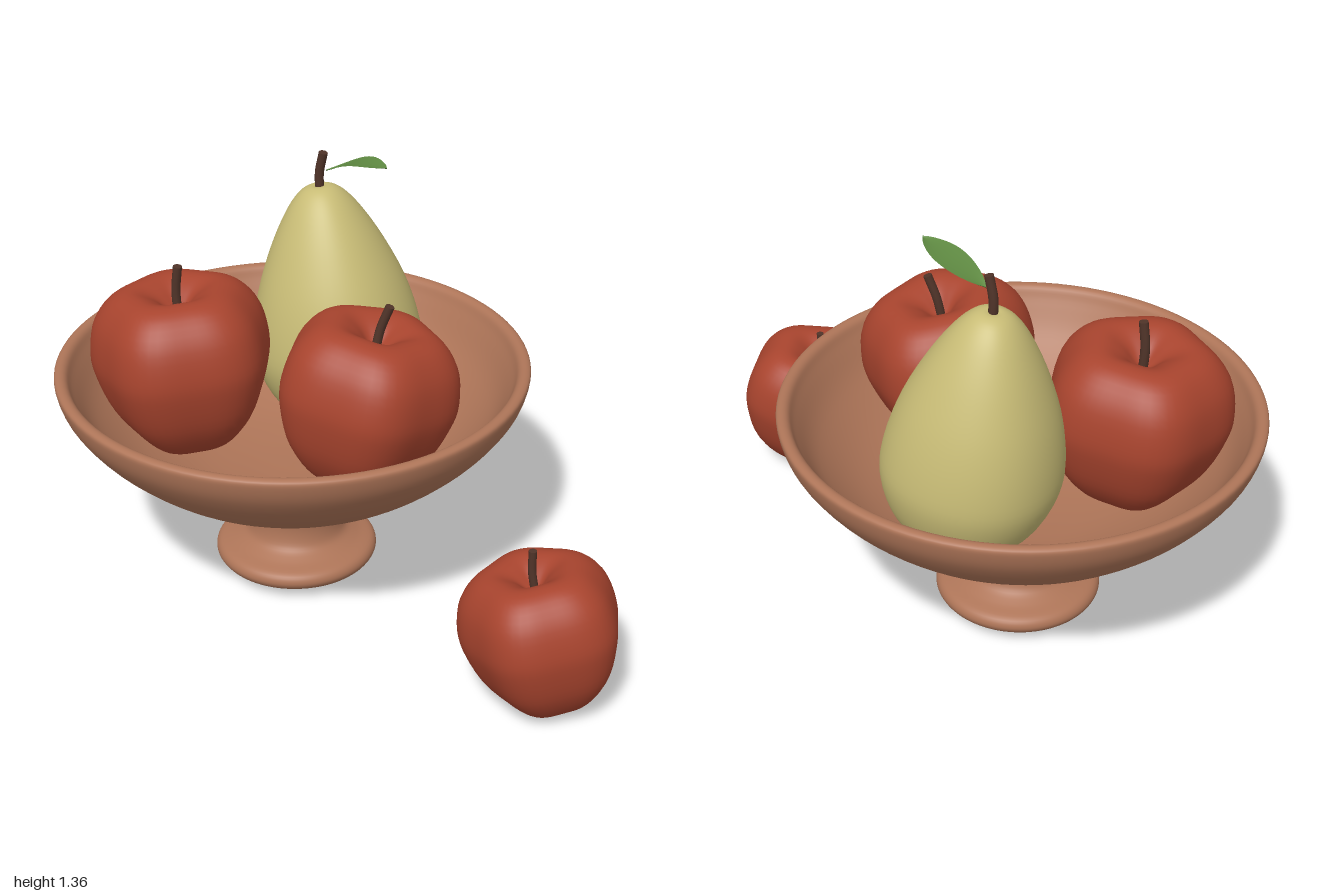
import * as THREE from 'three';
import { mergeVertices } from 'three/addons/utils/BufferGeometryUtils.js';

const mat = (name, color, extra = {}) => {
  const m = new THREE.MeshStandardMaterial({ color, ...extra });
  m.name = name;
  return m;
};

const mesh = (name, geometry, material) => {
  const m = new THREE.Mesh(geometry, material);
  m.name = name;
  return m;
};

// Smooth profile through a few [radius, height] points
const smooth = (pts, n) => new THREE.SplineCurve(pts.map(p => new THREE.Vector2(...p)))
  .getPoints(n).map(p => new THREE.Vector2(Math.max(0, p.x), p.y));

// Turned fruit body whose radius swells into soft lobes
function lobedLathe(profile, lobes, amount, phase) {
  let g = new THREE.LatheGeometry(smooth(profile, 44), 60);
  const p = g.attributes.position;
  for (let i = 0; i < p.count; i++) {
    const x = p.getX(i), z = p.getZ(i);
    const k = 1 + amount * Math.cos(lobes * (Math.atan2(z, x) - phase));
    p.setX(i, x * k);
    p.setZ(i, z * k);
  }
  g.deleteAttribute('uv');
  g.deleteAttribute('normal');
  g = mergeVertices(g, 1e-5);
  g.computeVertexNormals();
  return g;
}

// Curved stem with a closed tip
function makeStem(points, radius, material) {
  const curve = new THREE.CatmullRomCurve3(points.map(p => new THREE.Vector3(...p)));
  const group = new THREE.Group();
  group.name = 'stem';
  group.add(mesh('stemShaft', new THREE.TubeGeometry(curve, 10, radius, 10), material));
  const cap = mesh('stemTip', new THREE.CircleGeometry(radius, 10), material);
  const end = curve.getPoint(1);
  cap.position.copy(end);
  cap.lookAt(end.clone().add(curve.getTangent(1)));
  group.add(cap);
  return group;
}

const APPLE = [[0, -0.84], [0.16, -0.92], [0.34, -0.965], [0.56, -0.84], [0.82, -0.5],
  [0.97, -0.08], [1, 0.22], [0.92, 0.58], [0.72, 0.84], [0.48, 0.92], [0.26, 0.83],
  [0.1, 0.68], [0, 0.62]];

function makeApple(name, R, position, tiltX, tiltZ, phase, skin, stem) {
  const apple = new THREE.Group();
  apple.name = name;
  const profile = APPLE.map(([r, y]) => [r * R, y * R]);
  apple.add(mesh('appleBody', lobedLathe(profile, 5, 0.045, phase), skin));
  apple.add(makeStem([[0, 0.6 * R, 0], [0.01 * R, 0.9 * R, 0], [0.07 * R, 1.2 * R, 0]], 0.052 * R, stem));
  apple.position.set(...position);
  apple.rotation.set(tiltX, 0, tiltZ);
  return apple;
}

// Pointed, arched leaf built from rows across its length
function leafGeometry() {
  const spine = new THREE.CatmullRomCurve3([
    new THREE.Vector3(-0.27, 1.277, -0.27),
    new THREE.Vector3(-0.15, 1.332, -0.257),
    new THREE.Vector3(-0.03, 1.348, -0.213)]);
  const rows = 16, cols = 6;
  const g = new THREE.PlaneGeometry(1, 1, cols, rows);
  const p = g.attributes.position;
  for (let j = 0; j <= rows; j++) {
    const t = j / rows, c = spine.getPoint(t);
    const half = 0.051 * Math.pow(Math.sin(Math.PI * t), 0.75);
    for (let i = 0; i <= cols; i++) {
      const s = i / cols * 2 - 1;
      p.setXYZ(j * (cols + 1) + i, c.x - 0.2 * s * half, c.y + 0.004 * s * s, c.z + s * half);
    }
  }
  g.computeVertexNormals();
  return g;
}

export function createModel() {
  const clay = mat('terracotta', 0xae7558);
  const red = mat('appleRed', 0xa8442e);
  const yellow = mat('pearYellow', 0xc8bc76);
  const brown = mat('stemBrown', 0x503429);
  const green = mat('leafGreen', 0x5f8a42, { side: THREE.DoubleSide });

  const model = new THREE.Group();
  model.name = 'fruitBowl';

  // Footed bowl: underside, foot, outer wall, rolled rim, inner wall
  const bowlProfile = [new THREE.Vector2(0, 0.03), ...smooth([
    [0.21, 0.03], [0.245, 0.036], [0.263, 0.062], [0.25, 0.09], [0.2, 0.108], [0.16, 0.135],
    [0.147, 0.19], [0.158, 0.235], [0.21, 0.28], [0.315, 0.332], [0.5, 0.43], [0.635, 0.54],
    [0.72, 0.645], [0.748, 0.72], [0.738, 0.741], [0.712, 0.735], [0.688, 0.69], [0.62, 0.585],
    [0.49, 0.475], [0.32, 0.4], [0.15, 0.372], [0, 0.367]], 110)];
  const bowl = mesh('bowl', new THREE.LatheGeometry(bowlProfile, 96), clay);
  bowl.position.x = -0.25;
  model.add(bowl);

  // Two apples in the bowl and one beside it
  model.add(
    makeApple('rightApple', 0.28, [-0.57, 0.715, 0.135], 0, 0.08, 1.5, red, brown),
    makeApple('leftApple', 0.27, [0.06, 0.725, 0.11], -0.12, -0.14, 0.93, red, brown),
    makeApple('looseApple', 0.235, [0.762, 0.232, 0.345], 0, 0.21, 1.53, red, brown));

  // Leaning pear
  const pear = new THREE.Group();
  pear.name = 'pear';
  pear.add(mesh('pearBody', lobedLathe([[0, -0.21], [0.06, -0.228], [0.14, -0.21], [0.225, -0.13],
    [0.27, -0.01], [0.268, 0.1], [0.235, 0.24], [0.178, 0.38], [0.118, 0.49], [0.07, 0.55],
    [0.03, 0.571], [0, 0.565]], 4, 0.012, 0.78), yellow));
  pear.add(makeStem([[0, 0.54, 0], [0.006, 0.61, 0], [0.03, 0.682, 0]], 0.0145, brown));
  pear.position.set(-0.235, 0.65, -0.285);
  pear.rotation.z = 0.12;
  model.add(pear);

  // Leaf beside the pear stem
  model.add(mesh('leaf', leafGeometry(), green));
  return model;
}
